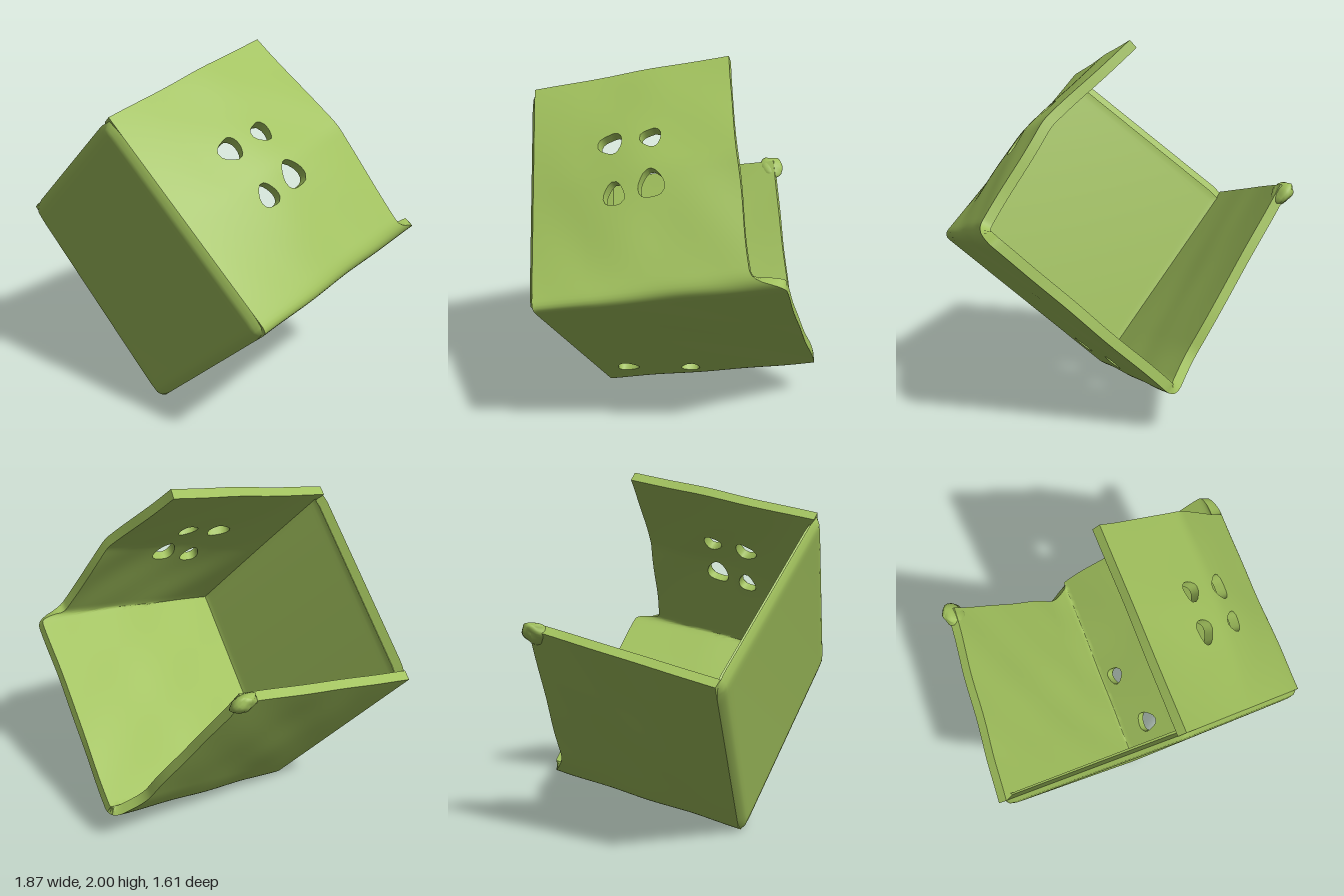
import * as THREE from 'three';
import { toCreasedNormals } from 'three/addons/utils/BufferGeometryUtils.js';

const V = (x, y, z) => new THREE.Vector3(x, y, z);
const WALL = 0.055;   // wall thickness
const ROUND = 0.03;   // rounding between front and side walls
const forward = V(-0.055, -0.21, 0.976);
const middle = V(-0.02, 0.9, 0.6);

// Front corners and matching back rim, as [parameter, point] knots
const L = V(-0.945, 0.98, 0.575), B = V(-0.07, -0.035, 0.425), R = V(0.9, 0.835, 0.65), T = V(0.01, 1.775, 0.82);
const frontKnots = [[0, L], [1, B], [2, R], [3, T]];
const backKnots = [
  [0, V(-0.79, 1.19, -0.53)], [0.85, V(-0.16, 0.33, -0.68)], [1, V(0, 0.18, -0.825)], [1.97, V(0.92, 1.03, -0.63)],
  [2.04, V(0.925, 1.07, -0.47)], [2.5, V(0.555, 1.595, -0.37)], [3, V(0.05, 2, -0.29)],
];

// Holes in the bent wall: [s, depth, half size in s, half size in depth]
const holes = [
  [2.645, 0.4, 0.046, 0.06], [2.64, 0.6, 0.042, 0.052],
  [2.425, 0.41, 0.046, 0.05], [2.44, 0.59, 0.054, 0.062],
  [1.2, 0.139, 0.05, 0.048], [1.127, 0.424, 0.042, 0.042],
];

function alongKnots(knots, s) {
  s = Math.min(Math.max(s, 0), 3);
  let i = 0;
  while (i < knots.length - 2 && s > knots[i + 1][0]) i++;
  const [s0, p0] = knots[i], [s1, p1] = knots[i + 1];
  return p0.clone().lerp(p1, (s - s0) / (s1 - s0));
}

// Averages nearby samples so the folds become round, the lower one more so
function softPath(knots, s) {
  const d = Math.min(s < 1.5 ? 0.05 : 0.03, s, 3 - s), sum = V(0, 0, 0);
  for (let k = -3; k <= 3; k++) sum.addScaledVector(alongKnots(knots, s + d * k / 3), 1 / 7);
  return sum;
}

// Gentle hand-made unevenness
const wobble = (a, b) => Math.sin(a * 7 + Math.sin(b * 6)) * Math.sin(b * 8 + a * 3) + 0.4 * Math.sin(a * 15 + b * 13);

const holeRadius = (h, u, v) => Math.hypot((u - h[0]) / h[2], (v - h[1]) / h[3]);

// Thick sheet over a parameter grid; cells inside holes are left out
function sheet(uMax, nu, nv, at, cuts = []) {
  const cutAt = (i, j) => i < 0 || j < 0 || i >= nu || j >= nv ? undefined
    : cuts.find(h => holeRadius(h, (i + 0.5) * uMax / nu, (j + 0.5) / nv) < 1);
  const kept = (i, j) => i >= 0 && j >= 0 && i < nu && j < nv && !cutAt(i, j);
  const pos = [], inner = [], index = [], e = 0.002;
  for (let i = 0; i <= nu; i++) for (let j = 0; j <= nv; j++) {
    let u = i * uMax / nu, v = j / nv;
    const h = cutAt(i, j) || cutAt(i - 1, j) || cutAt(i, j - 1) || cutAt(i - 1, j - 1);
    if (h) { // pull the rim onto an uneven oval
      const r = (holeRadius(h, u, v) || 1) * (1 + 0.1 * Math.sin(3 * Math.atan2(v - h[1], u - h[0]) + h[0] * 20));
      u = h[0] + (u - h[0]) / r;
      v = h[1] + (v - h[1]) / r;
    }
    const p = at(u, v);
    const u0 = Math.max(0, u - e), u1 = Math.min(uMax, u + e), v0 = Math.max(0, v - e), v1 = Math.min(1, v + e);
    const n = at(u, v1).sub(at(u, v0)).cross(at(u1, v).sub(at(u0, v))).normalize();
    pos.push(p.x, p.y, p.z);
    p.addScaledVector(n, -WALL);
    inner.push(p.x, p.y, p.z);
  }
  const id = (i, j) => i * (nv + 1) + j, off = (nu + 1) * (nv + 1);
  const quad = (a, b, c, d) => index.push(a, b, c, a, c, d);
  for (let i = 0; i < nu; i++) for (let j = 0; j < nv; j++) {
    if (!kept(i, j)) continue;
    const c = [id(i, j), id(i, j + 1), id(i + 1, j + 1), id(i + 1, j)];
    quad(...c);
    quad(...c.map(k => k + off).reverse());
    [[i - 1, j], [i, j + 1], [i + 1, j], [i, j - 1]].forEach(([a, b], k) => {
      if (kept(a, b)) return;
      const p = c[k], q = c[(k + 1) % 4];
      quad(q, p, p + off, q + off);
    });
  }
  const g = new THREE.BufferGeometry();
  g.setAttribute('position', new THREE.Float32BufferAttribute(pos.concat(inner), 3));
  g.setIndex(index);
  return toCreasedNormals(g, 0.9);
}

// Three side walls folded from one strip, from front edge (v=0) to open back rim (v=1)
function sideWall(s, v) {
  const front = softPath(frontKnots, s).addScaledVector(forward, -ROUND);
  const p = front.lerp(softPath(backKnots, s), v + 0.006 * v * wobble(s, 0.3));
  // the wall with the windows bulges outward
  const bulge = s > 2 ? 0.035 * Math.sin(Math.PI * (s - 2)) * Math.sin(Math.PI * v) : 0;
  const out = alongKnots(frontKnots, s).sub(middle).setZ(0).normalize();
  return p.addScaledVector(out, bulge + 0.004 * wobble(s, v) * Math.min(1, v * 4));
}

// Front wall, slightly pillowed so its edges roll into the sides
function frontWall(u, v) {
  const p = B.clone().lerp(L, u).lerp(R.clone().lerp(T, u), v);
  const edge = Math.min(u, 1 - u, v, 1 - v);
  const t = 1 - Math.min(1, edge / 0.06);
  p.addScaledVector(forward, -ROUND * (1 - Math.sqrt(1 - t * t)));
  // soften the four corners
  const corner = Math.hypot(Math.min(u, 1 - u), Math.min(v, 1 - v));
  return p.lerp(middle, 0.025 * Math.max(0, 1 - corner / 0.08));
}

export function createModel() {
  const group = new THREE.Group();
  const green = new THREE.MeshStandardMaterial({ color: 0xa0c05c });
  const add = (name, geometry) => {
    const mesh = new THREE.Mesh(geometry, green);
    mesh.name = name;
    group.add(mesh);
    return mesh;
  };
  add('sideWalls', sheet(3, 174, 52, sideWall, holes));
  add('frontWall', sheet(1, 44, 44, frontWall));

  // Thickened, curled rear corner of the open rim, lying along the wall
  const lump = new THREE.SphereGeometry(1, 16, 12);
  const a = lump.attributes.position;
  for (let i = 0; i < a.count; i++) {
    const p = V().fromBufferAttribute(a, i);
    p.multiplyScalar(1 + 0.1 * Math.sin(p.x * 5 + p.y * 4) * Math.cos(p.z * 5));
    a.setXYZ(i, p.x, p.y, p.z);
  }
  lump.computeVertexNormals();
  const curl = add('rimLump', lump);
  curl.scale.set(0.042, 0.075, 0.075);
  curl.position.set(-0.76, 1.165, -0.505);
  curl.rotation.z = 0.72;
  return group;
}
